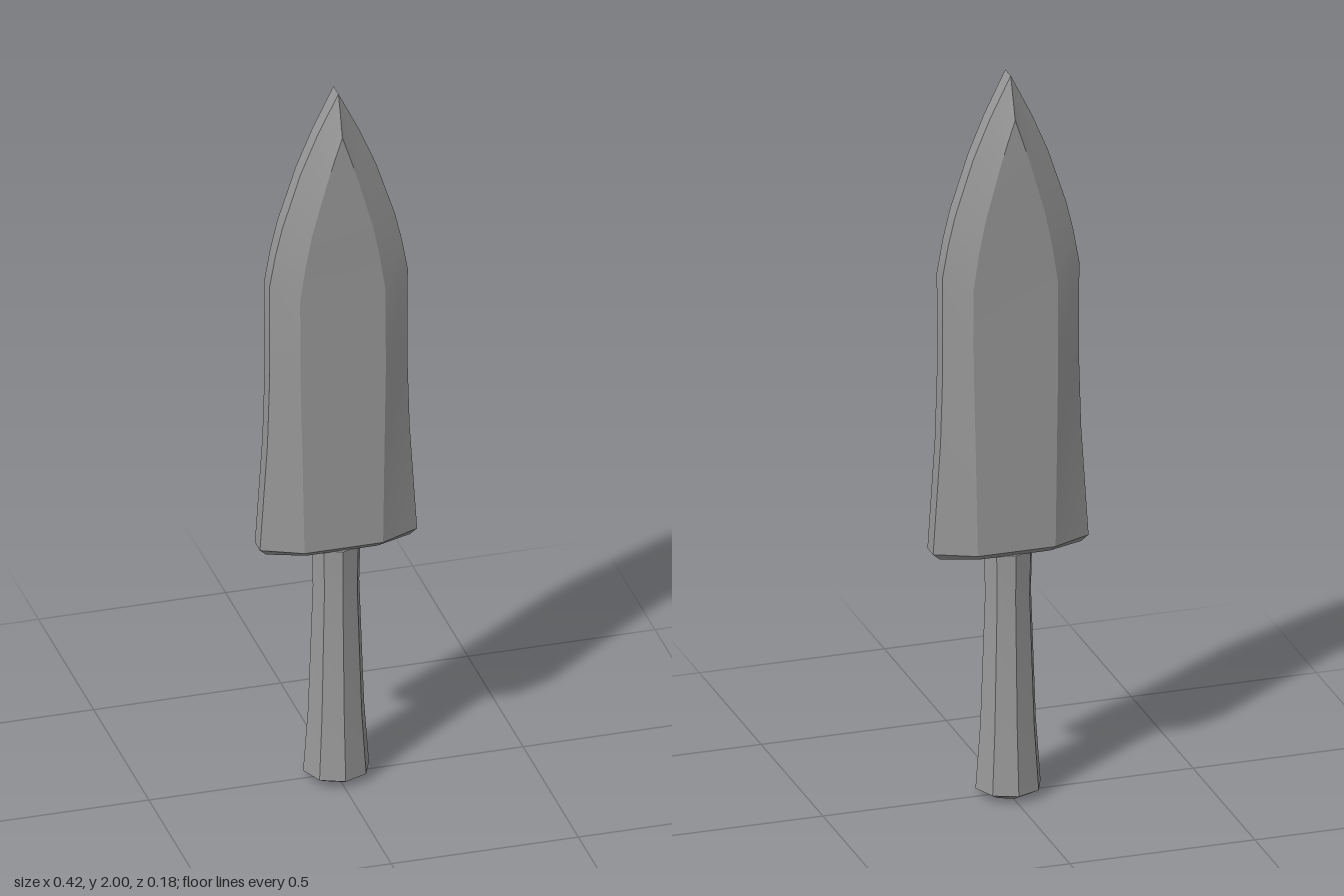
import * as THREE from 'three';
import { toCreasedNormals } from 'three/addons/utils/BufferGeometryUtils.js';

const material = new THREE.MeshStandardMaterial({ color: 0x999999 });

// Blade rows: outer half width, outer y, inner half width, inner y, inner half depth, edge half depth
const bladeRows = [
  [0.192, 0.68, 0.095, 0.68, 0.053, 0.018],
  [0.21, 0.697, 0.105, 0.697, 0.071, 0.023],
  [0.19, 1.0, 0.11, 1.0, 0.068, 0.023],
  [0.184, 1.2, 0.114, 1.2, 0.065, 0.023],
  [0.185, 1.46, 0.114, 1.43, 0.062, 0.023],
  [0.169, 1.55, 0.099, 1.53, 0.0615, 0.023],
  [0.15, 1.63, 0.081, 1.62, 0.061, 0.023],
  [0.101, 1.78, 0.042, 1.76, 0.06, 0.022],
  [0.057, 1.885, 0.02, 1.83, 0.059, 0.022],
  [0, 2.0, 0, 1.89, 0.058, 0.022],
];

// Eight-sided blade lofted between rows, closed by a flat base
function bladeGeometry() {
  const positions = [];
  const index = [];
  for (const [w, yo, m, yi, d, e] of bladeRows) {
    positions.push(
      w, yo, e, w, yo, -e, m, yi, -d, -m, yi, -d,
      -w, yo, -e, -w, yo, e, -m, yi, d, m, yi, d,
    );
  }
  for (let r = 0; r < bladeRows.length - 1; r++) {
    for (let i = 0; i < 8; i++) {
      const a = r * 8 + i;
      const b = r * 8 + ((i + 1) % 8);
      // Mirror the diagonal so both halves match
      if (i === 1 || i === 5) index.push(a, b, a + 8, b, b + 8, a + 8);
      else index.push(a, b, b + 8, a, b + 8, a + 8);
    }
  }
  for (let i = 1; i < 7; i++) index.push(0, i + 1, i);
  const geometry = new THREE.BufferGeometry();
  geometry.setAttribute('position', new THREE.Float32BufferAttribute(positions, 3));
  geometry.setIndex(index);
  return geometry;
}

// Octagonal grip flaring to a shallow domed butt
function handleGeometry() {
  const profile = [[0, 0], [0.055, 0.004], [0.088, 0.022], [0.075, 0.2], [0.062, 0.56], [0.065, 0.682], [0, 0.682]];
  return new THREE.LatheGeometry(profile.map(([r, y]) => new THREE.Vector2(r, y)), 8);
}

export function createModel() {
  const model = new THREE.Group();
  model.name = 'knife';
  for (const [name, geometry] of [['blade', bladeGeometry()], ['handle', handleGeometry()]]) {
    // Soft along the length, crisp across the facets
    const mesh = new THREE.Mesh(toCreasedNormals(geometry, 0.42), material);
    mesh.name = name;
    model.add(mesh);
  }
  return model;
}
